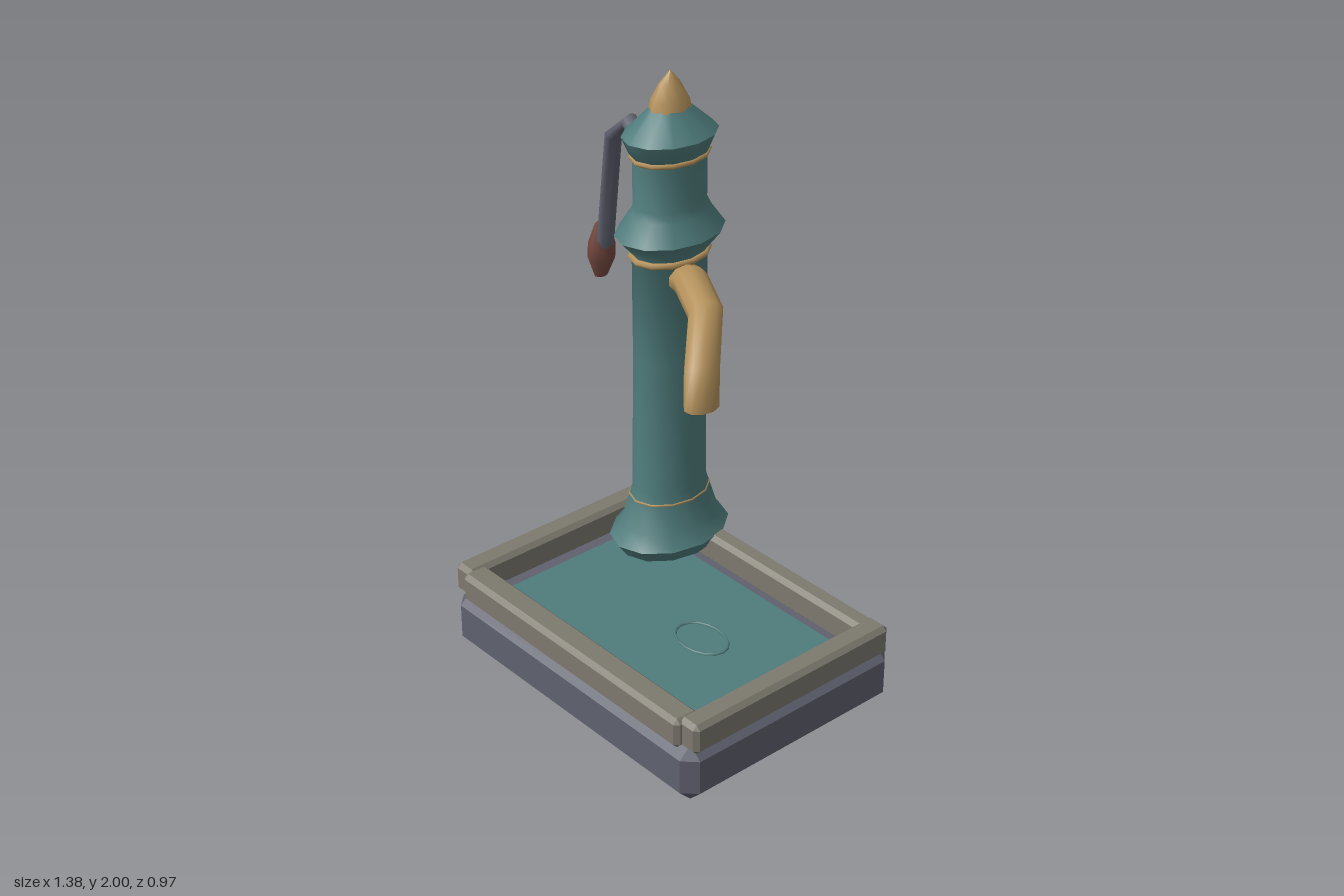
import * as THREE from 'three';
import { toCreasedNormals } from 'three/addons/utils/BufferGeometryUtils.js';
import { ConvexGeometry } from 'three/addons/geometries/ConvexGeometry.js';

const material = (name, color) => {
  const m = new THREE.MeshStandardMaterial({ color });
  m.name = name;
  return m;
};

// Straight-segment path with averaged directions at the joints
class Polyline extends THREE.Curve {
  constructor(points) {
    super();
    this.points = points.map((p) => new THREE.Vector3(...p));
  }
  getPoint(t, target = new THREE.Vector3()) {
    const n = this.points.length - 1;
    const i = Math.min(Math.floor(t * n + 1e-6), n - 1);
    return target.lerpVectors(this.points[i], this.points[i + 1], t * n - i);
  }
  getPointAt(u, target) { return this.getPoint(u, target); }
  getTangentAt(u, target = new THREE.Vector3()) {
    const n = this.points.length - 1, i = Math.round(u * n), p = this.points;
    target.set(0, 0, 0);
    if (i > 0) target.add(p[i].clone().sub(p[i - 1]).normalize());
    if (i < n) target.add(p[i + 1].clone().sub(p[i]).normalize());
    return target.normalize();
  }
}

// Box between two corners with every edge chamfered by c
function chamferBox([x0, y0, z0], [x1, y1, z1], c) {
  const centre = [(x0 + x1) / 2, (y0 + y1) / 2, (z0 + z1) / 2];
  const half = [(x1 - x0) / 2, (y1 - y0) / 2, (z1 - z0) / 2];
  const points = [];
  for (const sx of [-1, 1]) for (const sy of [-1, 1]) for (const sz of [-1, 1]) {
    for (let axis = 0; axis < 3; axis++) {
      const s = [sx, sy, sz];
      points.push(new THREE.Vector3(...s.map((v, k) => centre[k] + v * (half[k] - (k === axis ? 0 : c)))));
    }
  }
  return new ConvexGeometry(points);
}

const lathe = (profile, sides, crease = 0.8) => toCreasedNormals(
  new THREE.LatheGeometry(profile.map(([r, y]) => new THREE.Vector2(r, y)), sides), crease);

export function createModel() {
  const model = new THREE.Group();
  model.name = 'waterPump';
  const teal = material('tealPaint', 0x4f7b7b);
  const brass = material('brass', 0xb5925c);
  const stone = material('stone', 0x7d796f);
  const iron = material('darkIron', 0x5f616e);
  const wood = material('redWood', 0x74483f);

  const add = (parent, name, geometry, mat, position = [0, 0, 0]) => {
    const mesh = new THREE.Mesh(geometry, mat);
    mesh.name = name;
    mesh.position.set(...position);
    parent.add(mesh);
    return mesh;
  };

  // Basin
  const basin = new THREE.Group();
  basin.name = 'basin';
  model.add(basin);
  add(basin, 'basinBody', chamferBox([-0.54, 0, -0.425], [0.68, 0.215, 0.48], 0.045), iron);
  const rails = {
    rimLeft: [[0.6, 0.205, -0.385], [0.69, 0.315, 0.462]],
    rimRight: [[-0.545, 0.205, -0.385], [-0.455, 0.315, 0.462]],
    rimFront: [[-0.475, 0.205, 0.385], [0.625, 0.313, 0.485]],
    rimBack: [[-0.5, 0.205, -0.383], [0.64, 0.313, -0.305]],
  };
  for (const [name, [a, b]] of Object.entries(rails)) add(basin, name, chamferBox(a, b, 0.016), stone);
  add(basin, 'water', new THREE.BoxGeometry(1.0, 0.03, 0.65), teal, [0.105, 0.222, 0.065]);
  const ripple = add(basin, 'ripple', new THREE.TorusGeometry(0.104, 0.006, 6, 16), teal, [0.26, 0.238, 0.055]);
  ripple.rotation.x = Math.PI / 2;
  ripple.scale.y = 0.7;

  // Pump, slightly deeper than wide
  const pump = new THREE.Group();
  pump.name = 'pump';
  pump.position.set(-0.256, 0, -0.255);
  pump.scale.z = 1.3;
  model.add(pump);

  add(pump, 'column', lathe([
    [0, 0.26], [0.148, 0.26], [0.176, 0.31], [0.143, 0.36], [0.108, 0.5], [0.104, 1.0], [0.106, 1.38],
    [0.155, 1.45], [0.115, 1.52], [0.103, 1.55], [0.103, 1.73],
  ], 12), teal);
  add(pump, 'cap', lathe([[0.1, 1.715], [0.112, 1.73], [0.134, 1.79], [0.055, 1.878], [0, 1.88]], 12), teal);
  add(pump, 'finial', lathe([[0, 1.872], [0.06, 1.874], [0.054, 1.905], [0.03, 1.957], [0, 2]], 8, 1), brass);

  // Brass bands: [name, height, radius, tube]
  for (const [name, y, r, tube] of [
    ['footBand', 0.462, 0.115, 0.005],
    ['middleBand', 1.368, 0.106, 0.012],
    ['upperBand', 1.718, 0.105, 0.01],
  ]) add(pump, name, new THREE.TorusGeometry(r, tube, 6, 12).rotateX(Math.PI / 2), brass, [0, y, 0]);

  // Spout
  const spoutPath = new Polyline([
    [0.07, 1.295, 0], [0.188, 1.352, 0.058], [0.343, 1.323, 0.115], [0.489, 1.23, 0.227], [0.489, 1.1, 0.227],
  ]);
  add(pump, 'spout', new THREE.TubeGeometry(spoutPath, 4, 0.049, 10), brass);
  add(pump, 'spoutEnd', new THREE.CircleGeometry(0.047, 10).rotateX(Math.PI / 2), brass, [0.489, 1.101, 0.227]);

  // Lever handle and grip
  const handlePath = new Polyline([
    [-0.08, 1.645, 0], [-0.2, 1.762, 0], [-0.293, 1.68, -0.006], [-0.365, 1.29, -0.024], [-0.385, 1.22, -0.027],
  ]);
  add(pump, 'handle', new THREE.TubeGeometry(handlePath, 4, 0.026, 8), iron);
  const grip = add(pump, 'grip', lathe([
    [0, -0.1], [0.02, -0.098], [0.041, -0.03], [0.041, 0.025], [0.022, 0.1], [0, 0.101],
  ], 8, 1), wood, [-0.395, 1.217, -0.027]);
  grip.rotation.z = -0.06;

  return model;
}
